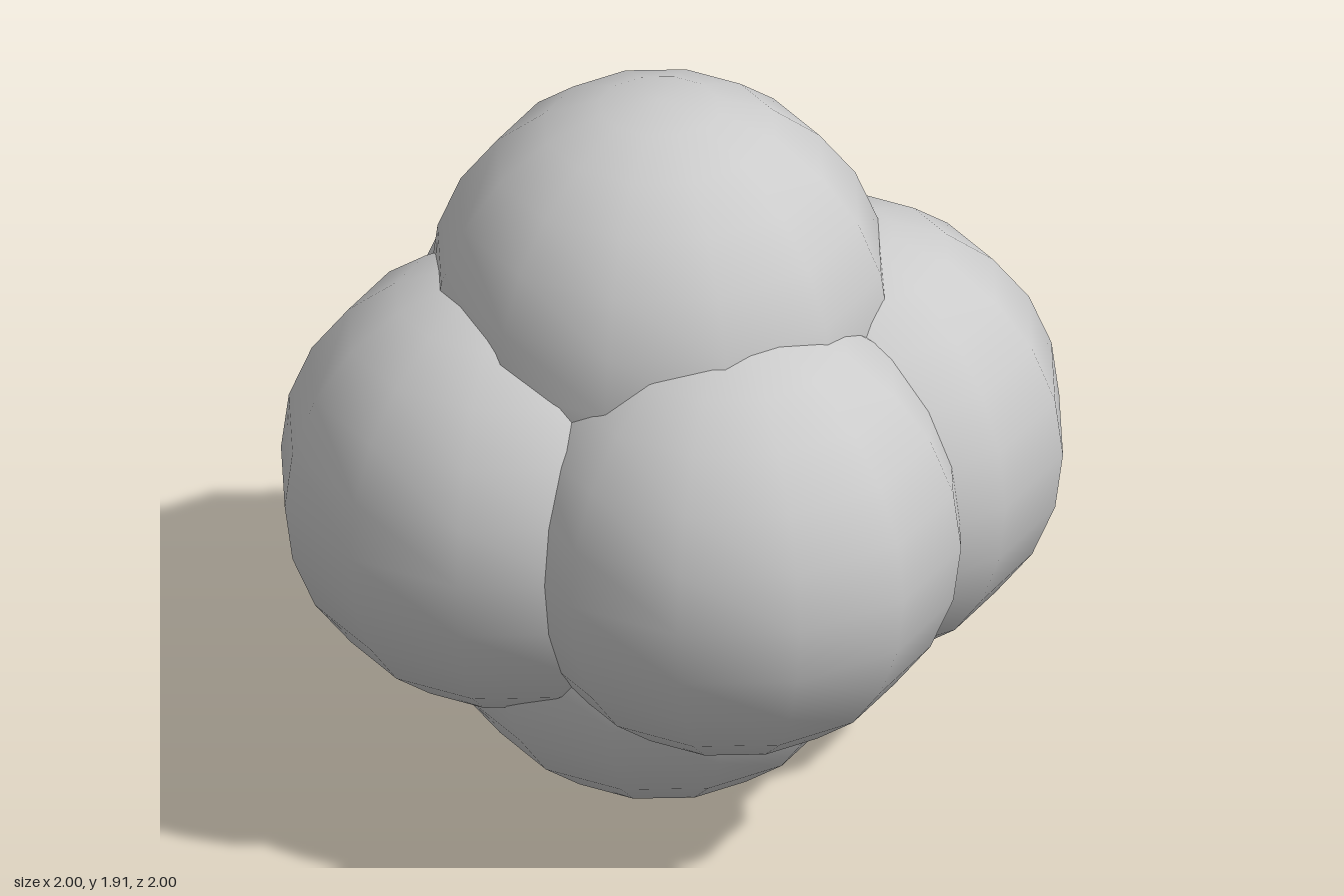
import * as THREE from 'three';

// Cluster of six overlapping low-segment, smooth-shaded balls
const RADIUS = 0.585;
const BALLS = [
  ['topBall', -0.03, 1.325, 0.025],
  ['bottomBall', -0.03, 0.585, 0.03],
  ['leftBall', 0.415, 0.905, 0.04],
  ['rightBall', -0.415, 0.905, 0.025],
  ['frontBall', 0.04, 0.905, 0.41],
  ['backBall', 0.04, 0.905, -0.415],
];

export function createModel() {
  const group = new THREE.Group();
  group.name = 'ballCluster';
  const material = new THREE.MeshStandardMaterial({ color: 0xcccccc });
  const geometry = new THREE.SphereGeometry(RADIUS, 12, 12);
  for (const [name, x, y, z] of BALLS) {
    const ball = new THREE.Mesh(geometry, material);
    ball.name = name;
    ball.position.set(x, y, z);
    group.add(ball);
  }
  return group;
}
